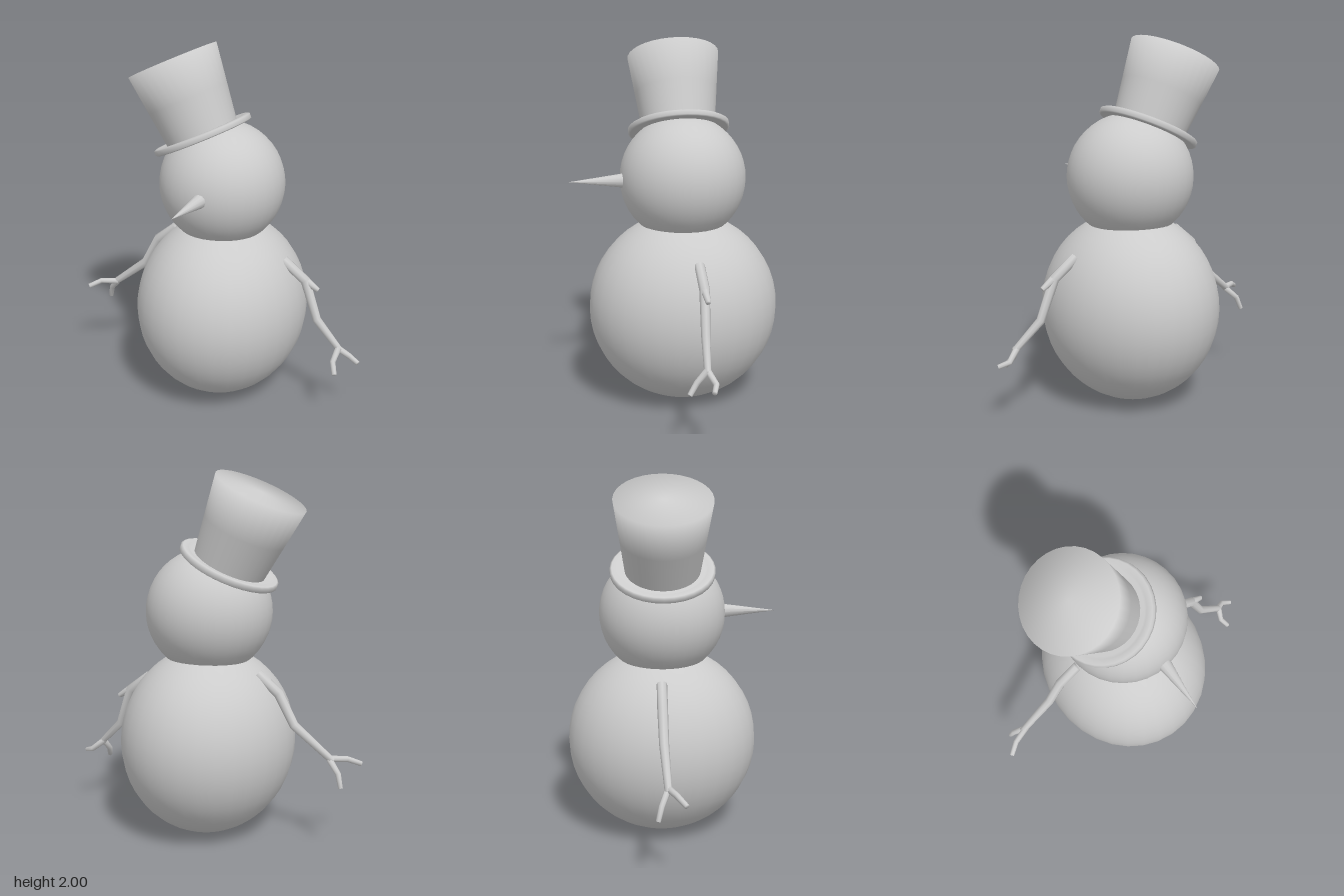
import * as THREE from 'three';

const material = new THREE.MeshStandardMaterial({ color: 0xcccccc });
const part = (name, geometry) => {
  const mesh = new THREE.Mesh(geometry, material);
  mesh.name = name;
  return mesh;
};
const lathe = (points, sides) =>
  new THREE.LatheGeometry(points.map(([r, y]) => new THREE.Vector2(r, y)), sides);

// Tapered, closed branch through points given as [x, y, z, radius]
function branch(points, sides = 8) {
  const centres = points.map((p) => new THREE.Vector3(p[0], p[1], p[2]));
  const last = points.length - 1;
  const rings = [[0, 0], ...points.map((p, i) => [i, p[3]]), [last, 0]];
  const position = [], index = [];
  rings.forEach(([i, radius], k) => {
    const before = centres[Math.max(i - 1, 0)], after = centres[Math.min(i + 1, last)];
    const t = after.clone().sub(before).normalize();
    const u = t.clone().cross(new THREE.Vector3(0, 0, 1)).normalize();
    const w = t.clone().cross(u);
    for (let j = 0; j < sides; j++) {
      const a = (j / sides) * Math.PI * 2;
      const v = centres[i].clone()
        .addScaledVector(u, Math.cos(a) * radius)
        .addScaledVector(w, Math.sin(a) * radius);
      position.push(v.x, v.y, v.z);
      if (k < rings.length - 1) {
        const p = k * sides + j, q = k * sides + ((j + 1) % sides);
        index.push(p, q, p + sides, q, q + sides, p + sides);
      }
    }
  });
  const geometry = new THREE.BufferGeometry();
  geometry.setAttribute('position', new THREE.Float32BufferAttribute(position, 3));
  geometry.setIndex(index);
  geometry.computeVertexNormals();
  return geometry;
}

function arm(name, branches) {
  const group = new THREE.Group();
  group.name = name;
  for (const [label, points] of Object.entries(branches)) group.add(part(label, branch(points)));
  return group;
}

export function createModel() {
  const model = new THREE.Group();
  model.name = 'snowman';

  // Snowballs
  const body = part('body', new THREE.SphereGeometry(1, 32, 24));
  body.scale.set(0.475, 0.525, 0.525);
  body.position.set(0.013, 0.53, -0.053);
  const head = part('head', new THREE.SphereGeometry(0.345, 32, 24));
  head.position.set(0.01, 1.25, -0.05);

  // Carrot nose
  const nose = part('nose', new THREE.ConeGeometry(0.043, 0.325, 12));
  nose.rotation.x = Math.PI / 2;
  nose.position.set(0.045, 1.25, 0.413);

  // Tilted top hat, flaring towards its crown
  const hat = new THREE.Group();
  hat.name = 'hat';
  hat.add(
    part('brim', lathe([
      [0, -0.018], [0.27, -0.018], [0.28, -0.012], [0.28, 0.012],
      [0.27, 0.018], [0.24, 0.018], [0.225, 0.008], [0, 0.008],
    ], 32)),
    part('crown', lathe([[0.2, -0.01], [0.228, 0.21], [0.256, 0.43], [0, 0.43]], 32)),
  );
  hat.position.set(-0.11, 1.505, -0.05);
  hat.rotation.z = THREE.MathUtils.degToRad(25);

  // Twig arms: a bent limb with two fingers
  const rightArm = arm('rightArm', {
    limb: [[-0.29, 0.93, -0.06, 0.028], [-0.41, 0.835, -0.06, 0.028],
      [-0.5, 0.67, -0.055, 0.026], [-0.715, 0.5, -0.04, 0.019]],
    frontFinger: [[-0.69, 0.51, -0.04, 0.018], [-0.785, 0.51, 0, 0.016], [-0.845, 0.48, 0.045, 0.014]],
    backFinger: [[-0.7, 0.505, -0.042, 0.018], [-0.76, 0.445, -0.075, 0.016], [-0.782, 0.375, -0.093, 0.013]],
  });
  const leftArm = arm('leftArm', {
    limb: [[0.38, 0.85, -0.07, 0.028], [0.51, 0.755, -0.07, 0.028],
      [0.59, 0.54, -0.06, 0.024], [0.735, 0.4, -0.04, 0.018]],
    stub: [[0.49, 0.77, -0.07, 0.026], [0.585, 0.71, -0.073, 0.014]],
    frontFinger: [[0.73, 0.41, -0.04, 0.018], [0.718, 0.345, 0.01, 0.016], [0.745, 0.292, 0.052, 0.014]],
    backFinger: [[0.72, 0.41, -0.04, 0.018], [0.785, 0.355, -0.073, 0.016], [0.84, 0.335, -0.052, 0.013]],
  });

  model.add(body, head, nose, hat, rightArm, leftArm);
  return model;
}
